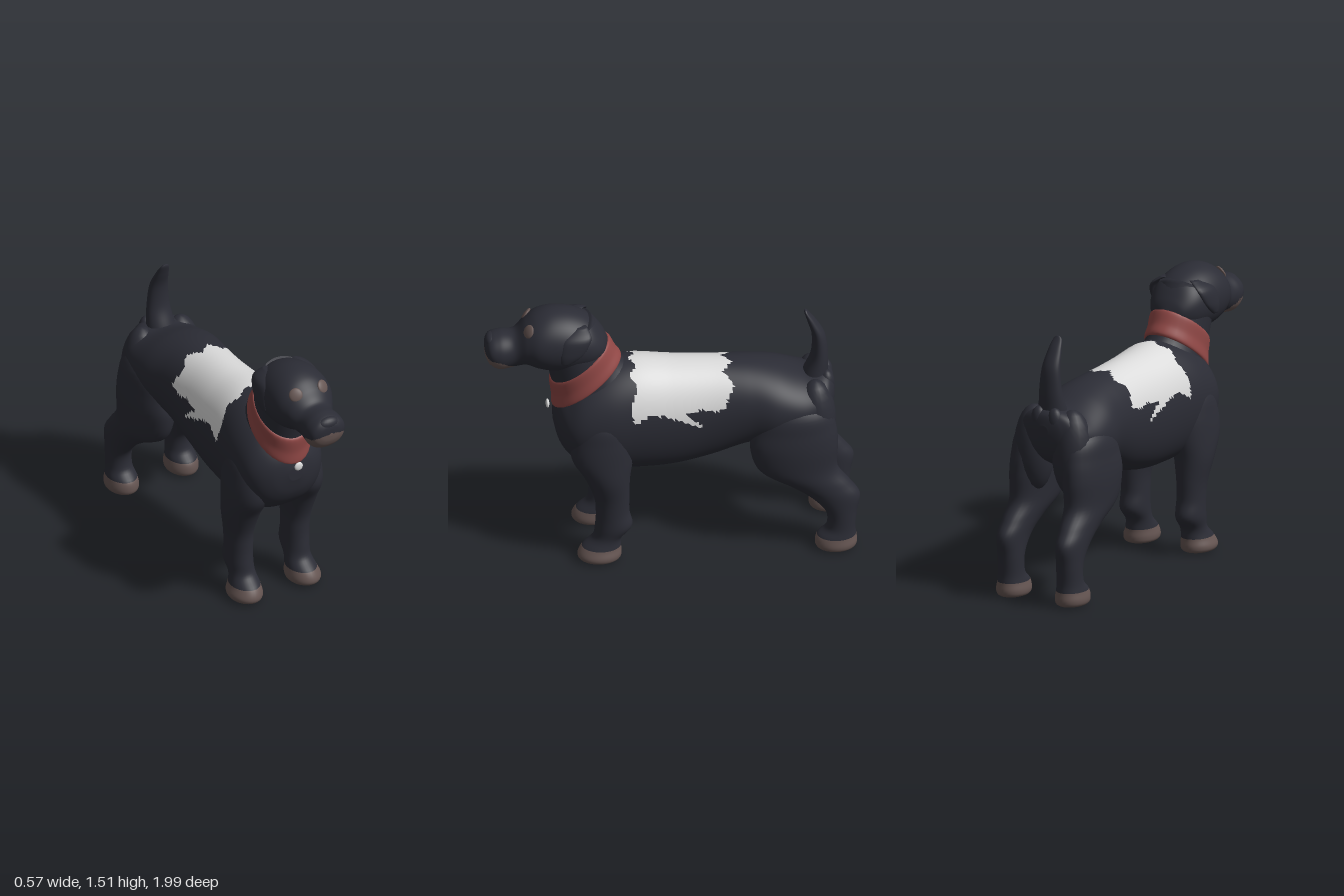
import * as THREE from 'three';

const mat = (name, color) => {
  const m = new THREE.MeshStandardMaterial({ color });
  m.name = name;
  return m;
};

// Smooth interpolation through a list of section rows
function sample(rows, f) {
  const i = Math.min(Math.floor(f), rows.length - 2), t = f - i;
  const at = k => rows[Math.max(0, Math.min(rows.length - 1, k))];
  return rows[i].map((_, c) => {
    const p0 = at(i - 1)[c], p1 = at(i)[c], p2 = at(i + 1)[c], p3 = at(i + 2)[c];
    return p1 + 0.5 * t * (p2 - p0 + t * (2 * p0 - 5 * p1 + 4 * p2 - p3 + t * (3 * (p1 - p2) + p3 - p0)));
  });
}

// Closed loft through elliptical sections [x, y, z, halfWidth, halfDepth].
// Tilt 0 travels along +z, tilt PI/2 travels down. paint(x, y, z) picks a material index.
// A belly power below 1 makes the lower half of each section fuller.
function loft(name, rows, tilt, materials, { paint = () => 0, around = 32, steps = 6, belly = 1 } = {}) {
  const n = (rows.length - 1) * steps, pos = [];
  for (let i = 0; i <= n; i++) {
    const [x, y, z, a, b] = sample(rows, i / steps);
    for (let j = 0; j < around; j++) {
      const t = (j / around) * Math.PI * 2, v = b * Math.sin(t), c = Math.cos(t);
      const u = a * Math.sign(c) * Math.pow(Math.abs(c), v < 0 ? belly : 1);
      pos.push(x + u, y + v * Math.cos(tilt), z + v * Math.sin(tilt));
    }
  }
  const first = pos.length / 3;
  pos.push(...rows[0].slice(0, 3), ...rows[rows.length - 1].slice(0, 3));
  const buckets = materials.map(() => []);
  const tri = (...ids) => {
    const mid = [0, 1, 2].map(c => ids.reduce((s, k) => s + pos[k * 3 + c], 0) / 3);
    buckets[paint(...mid)].push(...ids);
  };
  for (let j = 0; j < around; j++) {
    const k = (j + 1) % around;
    tri(first, k, j);
    tri(first + 1, n * around + j, n * around + k);
    for (let i = 0; i < n; i++) {
      const p = i * around, q = p + around;
      tri(p + j, p + k, q + k);
      tri(p + j, q + k, q + j);
    }
  }
  const geo = new THREE.BufferGeometry();
  geo.setAttribute('position', new THREE.Float32BufferAttribute(pos, 3));
  geo.setIndex(buckets.flat());
  let start = 0;
  buckets.forEach((b, i) => {
    geo.addGroup(start, b.length, i);
    start += b.length;
  });
  geo.computeVertexNormals();
  const mesh = new THREE.Mesh(geo, materials);
  mesh.name = name;
  return mesh;
}

function blob(name, material, p, s, facing = [0, 0, 1]) {
  const m = new THREE.Mesh(new THREE.SphereGeometry(1, 20, 14), material);
  m.name = name;
  m.position.set(...p);
  m.scale.set(...s);
  m.quaternion.setFromUnitVectors(new THREE.Vector3(0, 0, 1), new THREE.Vector3(...facing).normalize());
  return m;
}

const zigzag = t => Math.abs((((t % 1) + 1) % 1) * 2 - 1) * 2 - 1;

export function createModel() {
  const fur = mat('black fur', 0x2b2c35);
  const tan = mat('brown markings', 0x655552);
  const white = mat('white patch', 0xdadada);
  const red = mat('red collar', 0x914846);
  const dog = new THREE.Group();
  dog.name = 'dog';
  const DOWN = Math.PI / 2, NECK = 2.24;

  // Torso with a jagged white saddle patch and a splinter hanging from its lower edge
  const saddle = (x, y, z) => {
    const low = 0.94 + 0.01 * zigzag(z * 7) - Math.max(0, z - 0.1) * 0.3;
    const front = 0.215 + 0.02 * zigzag(x * 9);
    const back = -0.295 + 0.028 * zigzag(x * 8 + 0.3);
    const splinter = z > -0.14 && z < 0.08 && y < 0.95 && y > 0.907 + z * 0.44 && y < 0.975 + z * 0.8;
    return splinter || (y > low && z < front && z > back) ? 1 : 0;
  };
  dog.add(loft('torso', [
    [0, 0.93, -0.87, 0.03, 0.03],
    [0, 0.92, -0.855, 0.11, 0.10],
    [0, 0.90, -0.81, 0.19, 0.145],
    [0, 0.87, -0.70, 0.24, 0.17],
    [0, 0.87, -0.55, 0.25, 0.22],
    [0, 0.88, -0.40, 0.225, 0.24],
    [0, 0.85, -0.20, 0.217, 0.285],
    [0, 0.835, 0, 0.23, 0.314],
    [0, 0.842, 0.20, 0.246, 0.326],
    [0, 0.84, 0.35, 0.255, 0.31],
    [0, 0.83, 0.48, 0.24, 0.265],
    [0, 0.82, 0.56, 0.20, 0.195],
    [0, 0.83, 0.61, 0.13, 0.125],
    [0, 0.84, 0.634, 0.04, 0.04],
  ], 0, [fur, white], { paint: saddle, around: 96, steps: 11, belly: 0.75 }));

  // Neck, collar and hanging tag
  dog.add(loft('neck', [
    [0, 1.36, 0.56, 0.16, 0.165],
    [0, 1.18, 0.49, 0.152, 0.195],
    [0, 1.055, 0.455, 0.155, 0.222],
    [0, 0.92, 0.38, 0.20, 0.27],
    [0, 0.84, 0.33, 0.20, 0.24],
  ], NECK, [fur]));
  dog.add(loft('collar', [
    [0, 1.190, 0.495, 0.13, 0.18],
    [0, 1.185, 0.492, 0.158, 0.206],
    [0, 1.115, 0.472, 0.158, 0.220],
    [0, 1.054, 0.455, 0.163, 0.237],
    [0, 1.050, 0.453, 0.13, 0.20],
  ], NECK, [red]));
  dog.add(blob('collarTag', white, [0, 0.9, 0.662], [0.025, 0.025, 0.01]));

  // Head with brown lips
  const lips = (x, y, z) => (z > 0.83 && y < Math.min(1.2 + (z - 0.83) * 0.6, 1.288 - 2.5 * x * x) ? 1 : 0);
  dog.add(loft('head', [
    [0, 1.28, 0.34, 0.03, 0.03],
    [0, 1.295, 0.37, 0.10, 0.075],
    [0, 1.315, 0.44, 0.15, 0.138],
    [0, 1.33, 0.54, 0.172, 0.168],
    [0, 1.335, 0.64, 0.177, 0.175],
    [0, 1.335, 0.72, 0.168, 0.156],
    [0, 1.325, 0.78, 0.14, 0.125],
    [0, 1.287, 0.84, 0.109, 0.102],
    [0, 1.277, 0.92, 0.113, 0.106],
    [0, 1.285, 0.97, 0.10, 0.085],
    [0, 1.29, 0.993, 0.065, 0.052],
    [0, 1.295, 1.0, 0.02, 0.02],
  ], 0, [fur, tan], { paint: lips, around: 64, steps: 8, belly: 0.85 }));
  dog.add(blob('nose', fur, [0, 1.335, 0.962], [0.065, 0.04, 0.036]));

  // Tail, from tip down to root
  dog.add(loft('tail', [
    [0, 1.422, -0.716, 0.01, 0.006],
    [0, 1.405, -0.722, 0.026, 0.012],
    [0, 1.35, -0.75, 0.04, 0.024],
    [0, 1.26, -0.785, 0.054, 0.036],
    [0, 1.14, -0.79, 0.066, 0.046],
    [0, 1.04, -0.77, 0.078, 0.066],
    [0, 0.97, -0.755, 0.085, 0.08],
  ], DOWN, [fur]));

  const paw = (x, y) => (y < 0.085 ? 1 : 0);
  for (const s of [1, -1]) {
    const side = s > 0 ? 'left' : 'right';
    const mirror = rows => rows.map(([x, ...rest]) => [x * s, ...rest]);

    dog.add(loft(side + 'FrontLeg', mirror([
      [0.12, 0.98, 0.35, 0.05, 0.07],
      [0.144, 0.88, 0.37, 0.105, 0.13],
      [0.156, 0.77, 0.38, 0.115, 0.165],
      [0.166, 0.65, 0.383, 0.115, 0.165],
      [0.176, 0.53, 0.358, 0.103, 0.122],
      [0.177, 0.40, 0.335, 0.08, 0.095],
      [0.175, 0.30, 0.33, 0.075, 0.09],
      [0.175, 0.21, 0.325, 0.075, 0.10],
      [0.172, 0.14, 0.358, 0.07, 0.08],
      [0.175, 0.085, 0.39, 0.08, 0.105],
      [0.18, 0.04, 0.40, 0.092, 0.118],
      [0.18, 0.012, 0.40, 0.083, 0.108],
      [0.18, 0, 0.40, 0.05, 0.07],
    ]), DOWN, [fur, tan], { paint: paw }));

    dog.add(loft(side + 'RearLeg', mirror([
      [0.11, 0.99, -0.65, 0.05, 0.08],
      [0.143, 0.88, -0.65, 0.11, 0.185],
      [0.158, 0.77, -0.645, 0.117, 0.222],
      [0.167, 0.66, -0.64, 0.118, 0.235],
      [0.172, 0.52, -0.662, 0.106, 0.21],
      [0.18, 0.42, -0.775, 0.086, 0.165],
      [0.185, 0.34, -0.855, 0.075, 0.135],
      [0.185, 0.24, -0.89, 0.07, 0.085],
      [0.185, 0.14, -0.888, 0.07, 0.078],
      [0.185, 0.085, -0.865, 0.08, 0.105],
      [0.185, 0.04, -0.862, 0.088, 0.113],
      [0.185, 0.012, -0.862, 0.079, 0.103],
      [0.185, 0, -0.862, 0.05, 0.07],
    ]), DOWN, [fur, tan], { paint: paw }));

    // Buttock running down behind the hip, and the skin fold beside the tail root
    dog.add(blob(side + 'Buttock', fur, [0.12 * s, 0.80, -0.76], [0.112, 0.24, 0.108]));
    dog.add(blob(side + 'RumpFold', fur, [0.05 * s, 0.985, -0.825], [0.045, 0.07, 0.04]));

    // Folded ear flap
    dog.add(loft(side + 'Ear', mirror([
      [0.09, 1.455, 0.49, 0.02, 0.03],
      [0.148, 1.41, 0.515, 0.024, 0.075],
      [0.171, 1.33, 0.545, 0.017, 0.062],
      [0.168, 1.275, 0.575, 0.012, 0.03],
      [0.166, 1.265, 0.58, 0.004, 0.01],
    ]), DOWN, [fur], { around: 20 }));

    // Brow spot and small mark under it
    dog.add(blob(side + 'Brow', tan, [0.083 * s, 1.434, 0.77], [0.037, 0.038, 0.012], [0.4 * s, 0.5, 0.77]));
    dog.add(blob(side + 'EyeMark', tan, [0.066 * s, 1.394, 0.797], [0.018, 0.012, 0.008], [0.3 * s, 0.5, 0.8]));
  }
  return dog;
}
